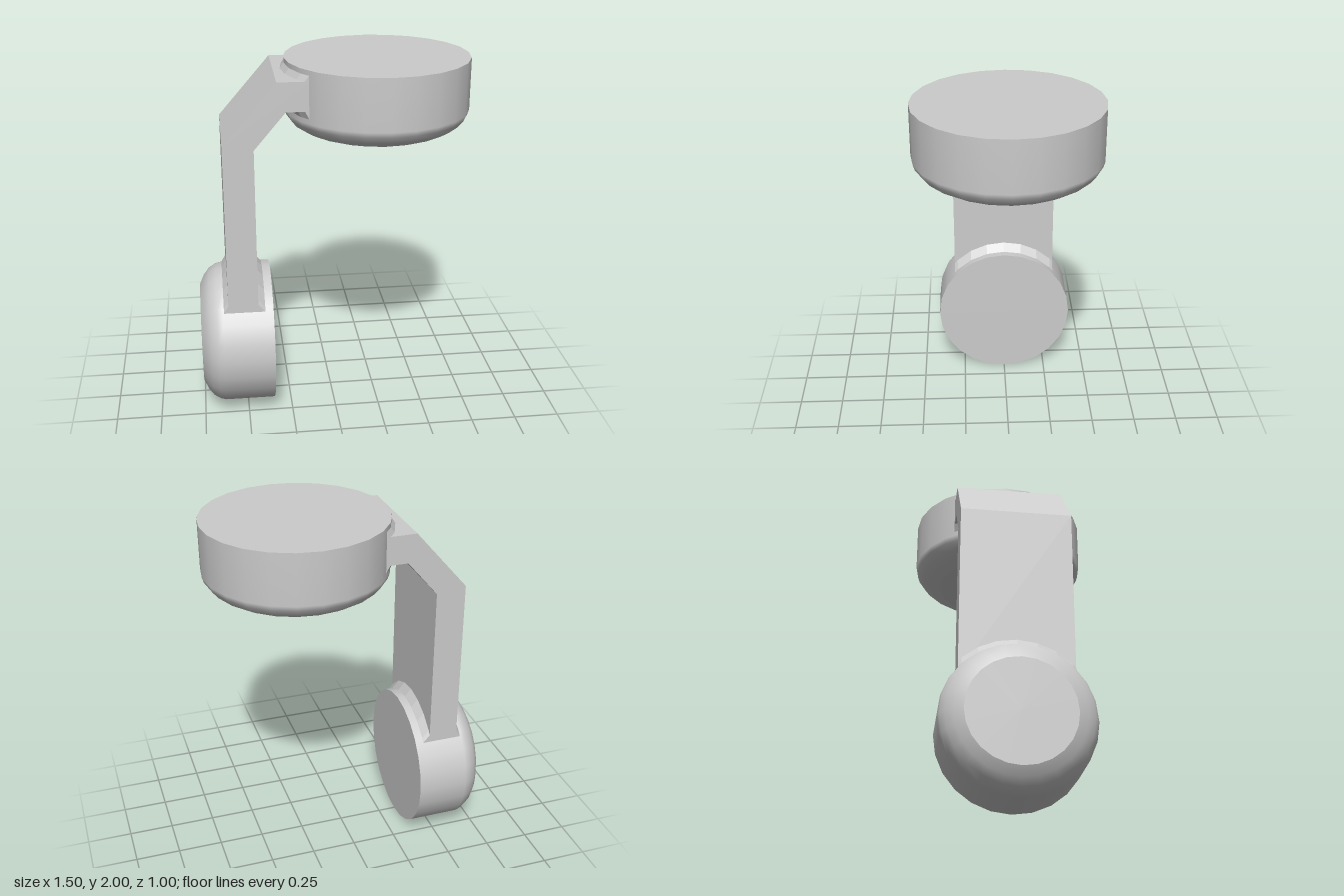
import * as THREE from 'three';
import { mergeGeometries, toCreasedNormals } from 'three/addons/utils/BufferGeometryUtils.js';

const SIDES = 24;
const material = new THREE.MeshStandardMaterial({ color: 0xcccccc });

function part(name, geometry) {
  const mesh = new THREE.Mesh(geometry, material);
  mesh.name = name;
  return mesh;
}

// Disc with one rounded rim (bottom) and one sharp rim (top), 0.4 thick
function roundedDisc(name, radius) {
  const k = radius / 0.5;
  const profile = [[0.35, 0], [0.41, 0.022], [0.46, 0.052], [0.49, 0.09], [0.5, 0.12], [0.5, 0.4]]
    .map(([r, y]) => new THREE.Vector2(r * k, y));
  const side = new THREE.LatheGeometry(profile, SIDES).toNonIndexed();
  const top = new THREE.CircleGeometry(radius, SIDES).rotateX(-Math.PI / 2).translate(0, 0.4, 0).toNonIndexed();
  const bottom = new THREE.CircleGeometry(0.35 * k, SIDES).rotateX(Math.PI / 2).toNonIndexed();
  return part(name, mergeGeometries([side, top, bottom]));
}

// Flared collar that follows the facets of a disc; its origin is the disc's axis
function collar(name, radius, halfWidth, flareLeft, flareRight, rise, halfDepth) {
  const step = (2 * Math.PI) / SIDES;
  const ring = [[0, radius]];
  for (let i = 1; i < SIDES / 4; i++) {
    const z = radius * Math.sin(i * step), y = radius * Math.cos(i * step);
    if (z >= halfDepth) {
      const [z0, y0] = ring[ring.length - 1];
      ring.push([halfDepth, y0 + ((y - y0) * (halfDepth - z0)) / (z - z0)]);
      break;
    }
    ring.push([z, y]);
  }
  const n = ring.length - 1;
  const geometry = new THREE.BoxGeometry(2, 2, 2, 1, 1, 2 * n);
  const p = geometry.attributes.position;
  for (let i = 0; i < p.count; i++) {
    const k = Math.round(p.getZ(i) * n);
    const [z, y] = ring[Math.abs(k)];
    const upper = p.getY(i) > 0;
    const flare = upper ? 0 : p.getX(i) < 0 ? flareLeft : flareRight;
    p.setXYZ(i, Math.sign(p.getX(i)) * (halfWidth + flare), y + (upper ? rise : 0), Math.sign(k) * z);
  }
  return part(name, toCreasedNormals(geometry, 0.1));
}

export function createModel() {
  const model = new THREE.Group();
  model.name = 'model';

  // Large horizontal disc
  const seat = roundedDisc('upperDisc', 0.5);
  seat.position.set(0.25, 1.6, 0);

  // Small upright disc, flat face towards +x
  const foot = roundedDisc('lowerDisc', 0.4);
  foot.rotation.z = -Math.PI / 2;
  foot.position.set(-0.75, 0.4, 0);

  // Bent flat arm joining the discs
  const outline = new THREE.Shape([
    [-0.597, 0.64], [-0.433, 0.64], [-0.433, 1.588], [-0.265, 1.786],
    [-0.13, 1.786], [-0.13, 1.943], [-0.31, 1.943], [-0.597, 1.612],
  ].map(([x, y]) => new THREE.Vector2(x, y)));
  const arm = part('arm', new THREE.ExtrudeGeometry(outline, { depth: 0.6, bevelEnabled: false }).translate(0, 0, -0.3));

  // Flared collars where the arm meets each disc
  const lower = collar('lowerCollar', 0.4, 0.082, 0.025, 0.038, 0.044, 0.3);
  lower.position.set(-0.515, 0.4, 0);
  const upper = collar('upperCollar', 0.5, 0.0785, 0.041, 0.03, 0.021, 0.3);
  upper.rotation.z = Math.PI / 2;
  upper.position.set(0.25, 1.8645, 0);

  model.add(seat, foot, arm, lower, upper);
  return model;
}
